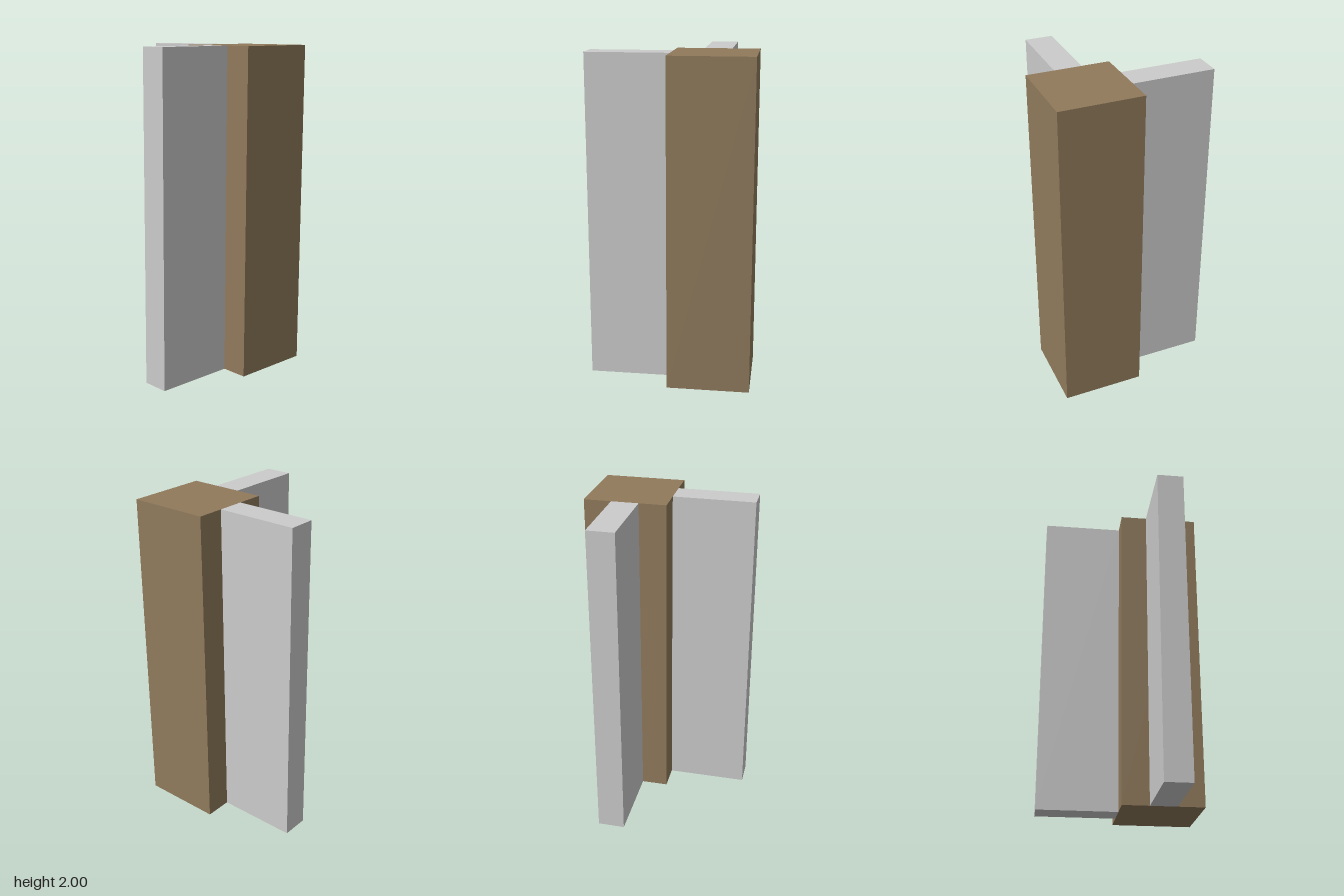
import * as THREE from 'three';

const HEIGHT = 2;
const POST = 0.5; // post side length and wall length
const WALL = 1 / 6; // wall thickness

export function createModel() {
  const model = new THREE.Group();
  model.name = 'cornerPostWithWalls';

  const wood = new THREE.MeshStandardMaterial({ color: 0x907a5c, flatShading: true });
  const grey = new THREE.MeshStandardMaterial({ color: 0xcccccc, flatShading: true });

  // Upright block standing on the ground
  const addBlock = (name, material, width, depth, x, z) => {
    const mesh = new THREE.Mesh(new THREE.BoxGeometry(width, HEIGHT, depth), material);
    mesh.name = name;
    mesh.position.set(x, HEIGHT / 2, z);
    model.add(mesh);
  };

  // Square corner post
  addBlock('cornerPost', wood, POST, POST, POST / 2, POST / 2);

  // Thin walls meeting the middle of two post faces
  addBlock('sideWall', grey, POST, WALL, -POST / 2, POST / 2);
  addBlock('backWall', grey, WALL, POST, POST / 2, -POST / 2);

  return model;
}
